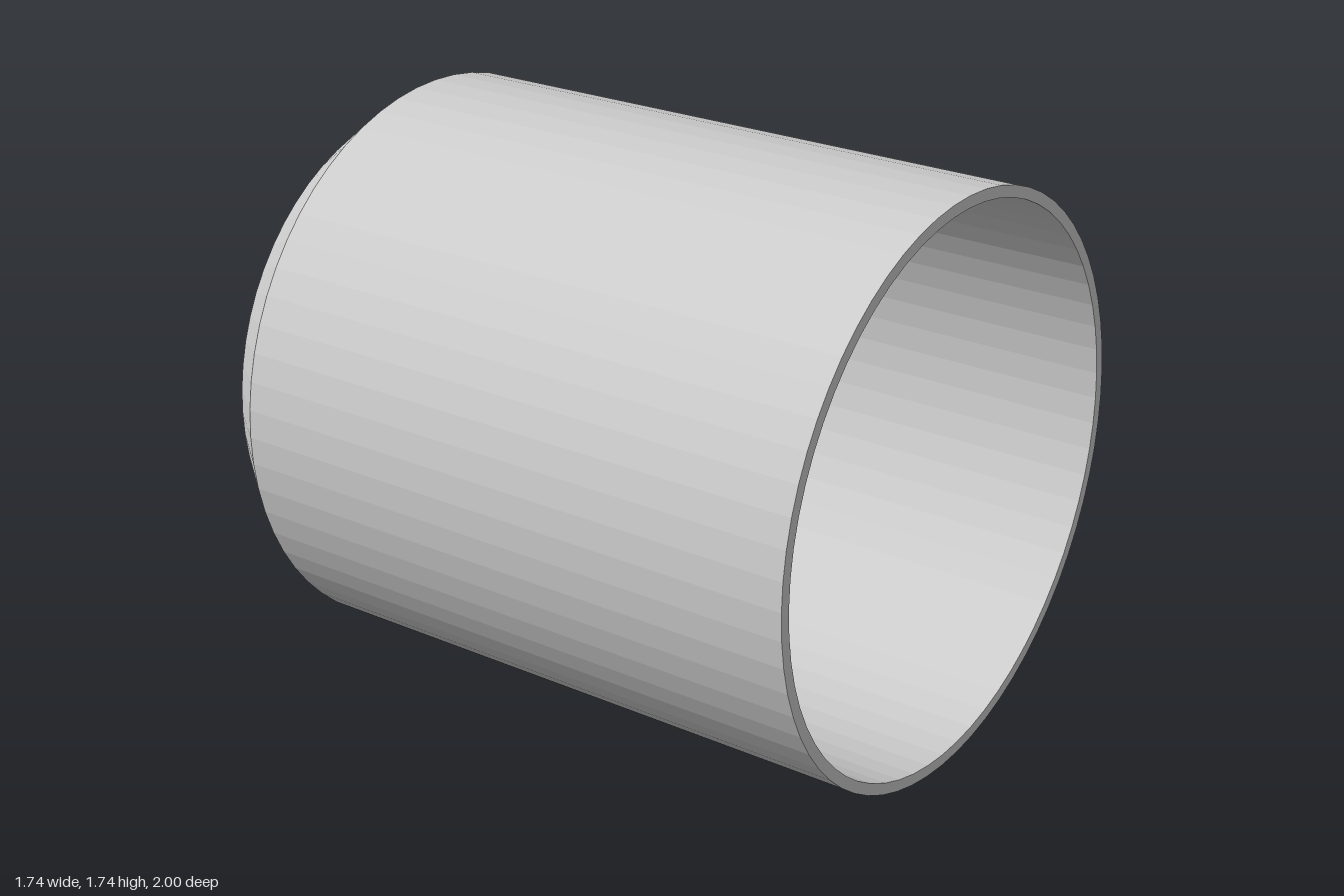
import * as THREE from 'three';

export function createModel() {
  const group = new THREE.Group();
  group.name = 'cup';

  const material = new THREE.MeshStandardMaterial({ color: 0xcccccc, flatShading: true });

  // Closed wall profile (radius, depth): outside from the base to the rim, then back down the inside
  const profile = [
    [0, -1], [0.75, -1], [0.87, -0.85], [0.87, 1], // base, chamfer, outer wall
    [0.835, 1], [0.835, -0.69], [0.72, -0.84], [0, -0.84], // rim, inner wall, inner chamfer, floor
  ].map(([r, d]) => new THREE.Vector2(r, d));

  // Turn the body and lay it on its side with the opening towards +z
  const geometry = new THREE.LatheGeometry(profile, 64);
  geometry.rotateX(Math.PI / 2);

  const body = new THREE.Mesh(geometry, material);
  body.name = 'cupBody';
  body.position.y = 0.87;
  group.add(body);

  return group;
}
